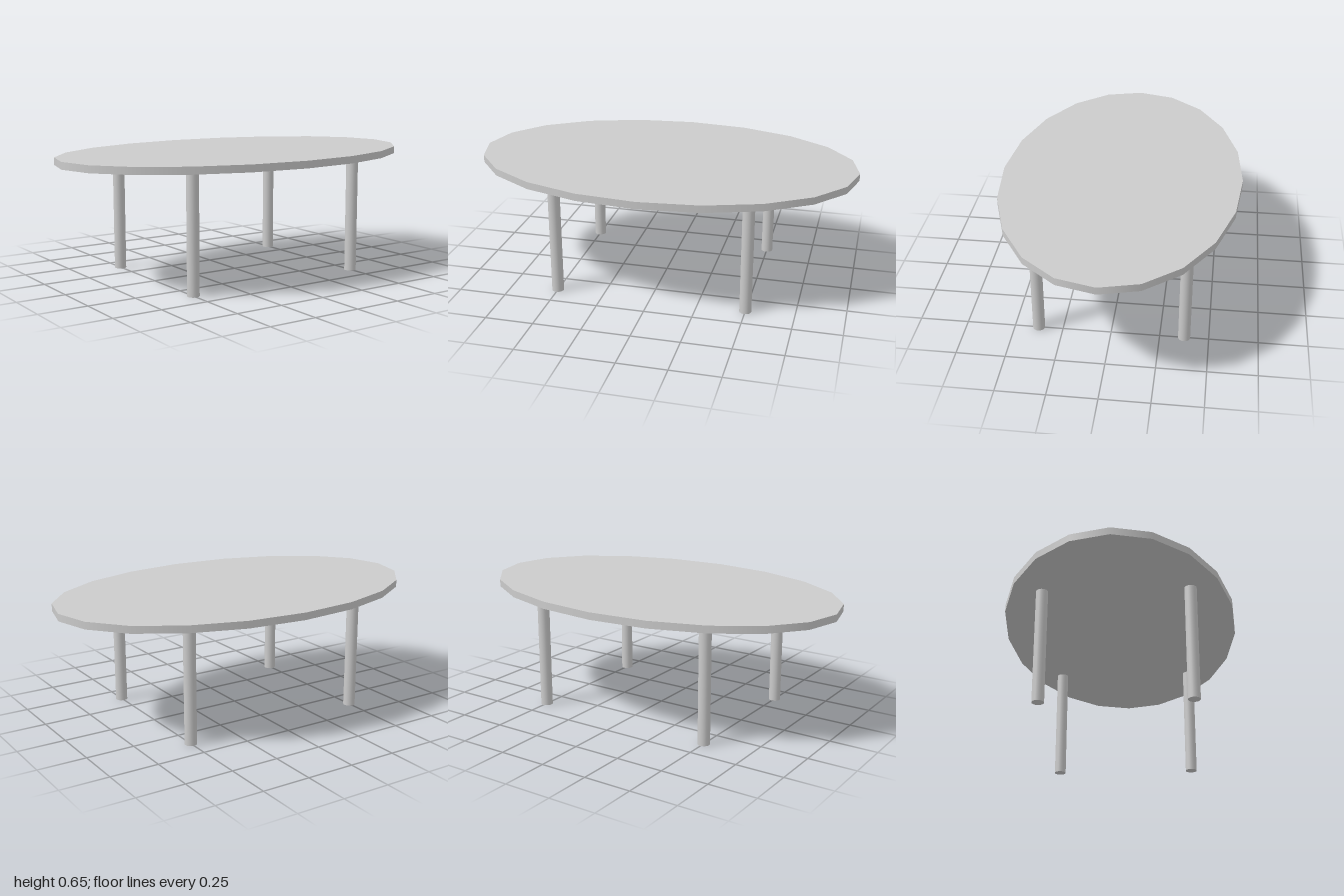
import * as THREE from 'three';

const TOP_Y = 0.65, THICKNESS = 0.0375;
const HALF_DEPTH = 0.625;
const LEG_X = 0.5, LEG_Z = 0.375, LEG_RADIUS = 0.031;

export function createModel() {
  const table = new THREE.Group();
  table.name = 'ovalTable';
  const material = new THREE.MeshStandardMaterial({ color: 0xcccccc });

  // Oval top: a 20-sided disc squeezed in depth
  const topGeometry = new THREE.CylinderGeometry(1, 1, THICKNESS, 20);
  topGeometry.scale(1, 1, HALF_DEPTH);
  const top = new THREE.Mesh(topGeometry, material);
  top.name = 'tabletop';
  top.position.y = TOP_Y - THICKNESS / 2;
  table.add(top);

  // Four straight round legs reaching the underside of the top
  const legHeight = TOP_Y - THICKNESS;
  const legGeometry = new THREE.CylinderGeometry(LEG_RADIUS, LEG_RADIUS, legHeight, 20);
  for (const [zName, sz] of [['front', 1], ['back', -1]]) {
    for (const [xName, sx] of [['Left', 1], ['Right', -1]]) {
      const leg = new THREE.Mesh(legGeometry, material);
      leg.name = `${zName}${xName}Leg`;
      leg.position.set(sx * LEG_X, legHeight / 2, sz * LEG_Z);
      table.add(leg);
    }
  }
  return table;
}
